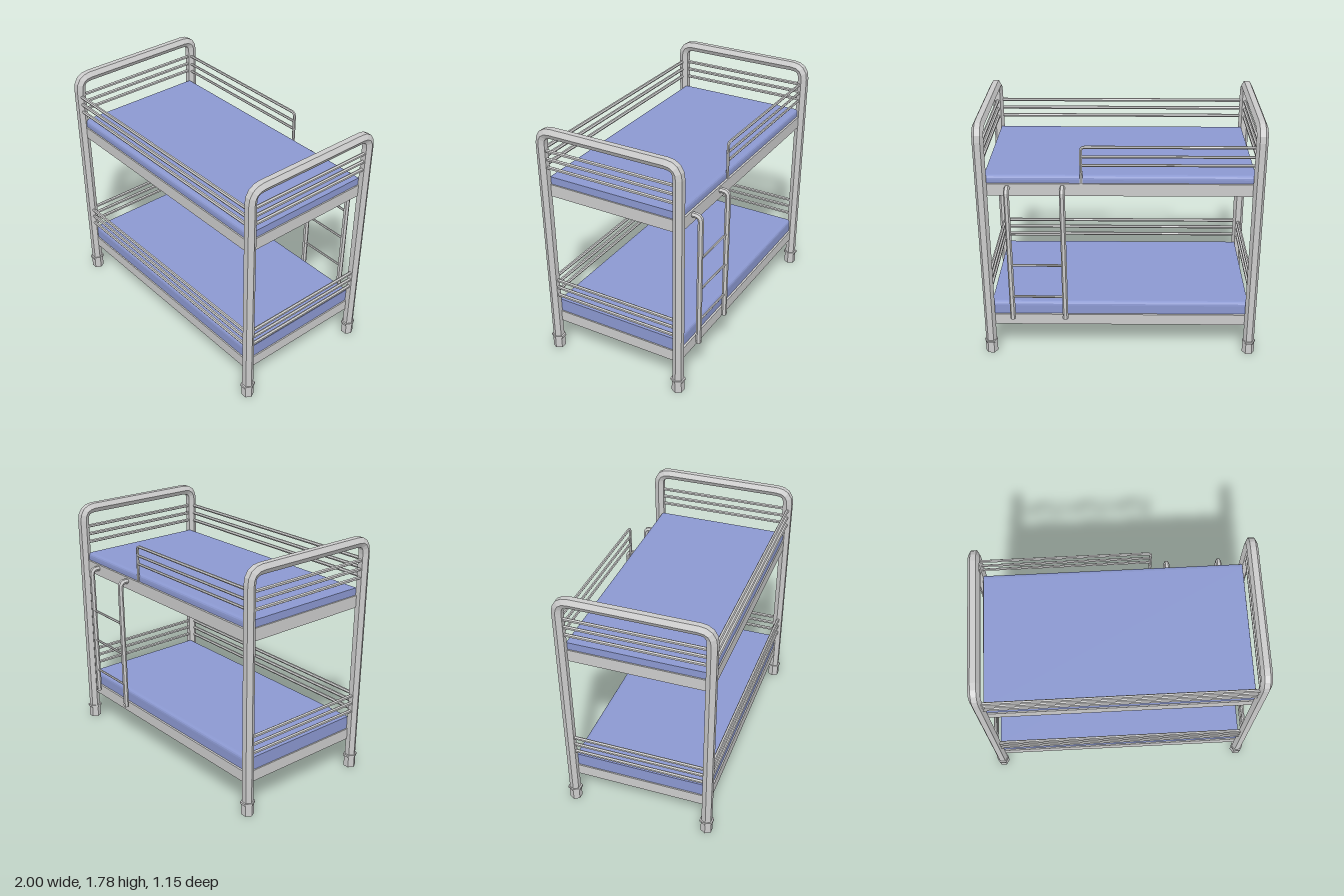
import * as THREE from 'three';

const grey = new THREE.MeshStandardMaterial({ color: 0xcccccc, flatShading: true });
const blue = new THREE.MeshStandardMaterial({ color: 0x8b98d0, flatShading: true });

const POST_X = 0.952;
const V = (x, y, z) => new THREE.Vector3(x, y, z);

// Curve that visits each given point once, with mitred tangents
class Polyline extends THREE.Curve {
  constructor(points) {
    super();
    this.points = points;
  }
  getPointAt(u) {
    return this.points[Math.round(u * (this.points.length - 1))].clone();
  }
  getTangentAt(u) {
    const p = this.points;
    const i = Math.round(u * (p.length - 1));
    const t = V(0, 0, 0);
    if (i > 0) t.add(p[i].clone().sub(p[i - 1]).normalize());
    if (i < p.length - 1) t.add(p[i + 1].clone().sub(p[i]).normalize());
    return t.normalize();
  }
}

// Replace the inner corners of a path with short curves
function roundCorners(pts, radius, steps = 4) {
  const out = [pts[0]];
  for (let i = 1; i < pts.length - 1; i++) {
    const c = pts[i];
    const a = c.clone().add(pts[i - 1].clone().sub(c).setLength(radius));
    const b = c.clone().add(pts[i + 1].clone().sub(c).setLength(radius));
    out.push(...new THREE.QuadraticBezierCurve3(a, c, b).getPoints(steps));
  }
  out.push(pts[pts.length - 1]);
  return out;
}

export function createModel() {
  const model = new THREE.Group();
  model.name = 'bunkBed';

  const add = (name, geometry, material = grey) => {
    const mesh = new THREE.Mesh(geometry, material);
    mesh.name = name;
    model.add(mesh);
    return mesh;
  };
  const tube = (name, pts, r, corner = 0) => {
    const path = corner ? roundCorners(pts, corner) : pts;
    return add(name, new THREE.TubeGeometry(new Polyline(path), path.length - 1, r, 6));
  };

  // The posts splay slightly towards the top
  const frontZ = (y) => 0.53 + 0.013 * (y / 1.75);
  const backZ = (y) => -0.489 - 0.013 * (y / 1.75);

  // End frames: one bent hexagonal tube each, with feet
  for (const side of [-1, 1]) {
    const x = side * POST_X;
    tube('endFrame', [
      V(x, 0.02, frontZ(0)), V(x, 1.75, frontZ(1.75)),
      V(x, 1.75, backZ(1.75)), V(x, 0.02, backZ(0)),
    ], 0.04, 0.09);
    for (const z of [frontZ(0), backZ(0)]) {
      const foot = add('foot', new THREE.CylinderGeometry(0.043, 0.045, 0.085, 6));
      foot.rotation.y = Math.PI / 2;
      foot.position.set(x, 0.0425, z);
      const ring = add('footRing', new THREE.CylinderGeometry(0.048, 0.048, 0.016, 6));
      ring.rotation.y = Math.PI / 2;
      ring.scale.x = 1.12;
      ring.position.set(x, 0.093, z);
    }
  }

  // Two bunks: base, mattress, front rails and end rails
  const bunks = [
    { bottom: 0.227, top: 0.31, mattressTop: 0.406, rails: [0.46, 0.524, 0.584] },
    { bottom: 1.263, top: 1.352, mattressTop: 1.406, rails: [1.486, 1.548, 1.61] },
  ];
  for (const { bottom, top, mattressTop, rails } of bunks) {
    const zf = frontZ(top), zb = backZ(top);

    const base = add('bedBase', new THREE.BoxGeometry(1.88, top - bottom, zf - zb));
    base.position.set(0, (top + bottom) / 2, (zf + zb) / 2);

    // Mattress: cross-section with rounded long edges, extruded along x
    const f = zf - 0.01, b = zb + 0.015, e = 0.03;
    const s = new THREE.Shape();
    s.moveTo(-f, top - 0.01);
    s.lineTo(-b, top - 0.01);
    s.lineTo(-b, mattressTop - e);
    s.quadraticCurveTo(-b, mattressTop, -b - e, mattressTop);
    s.lineTo(-f + e, mattressTop);
    s.quadraticCurveTo(-f, mattressTop, -f, mattressTop - e);
    const mattress = add('mattress',
      new THREE.ExtrudeGeometry(s, { depth: 1.86, bevelEnabled: false, curveSegments: 4 }), blue);
    mattress.rotation.y = Math.PI / 2;
    mattress.position.x = -0.93;

    for (const y of rails) {
      const z = frontZ(y) + 0.006;
      tube('frontRail', [V(-0.935, y, z), V(0.935, y, z)], 0.013);
      for (const side of [-1, 1]) {
        const x = side * POST_X;
        tube('endRail', [V(x, y, frontZ(y)), V(x, y, backZ(y))], 0.013);
      }
    }
  }

  // Short guard rail on the back of the upper bunk
  const guardZ = -0.487, guardX = 0.265;
  tube('backGuard', [
    V(-0.935, 1.617, guardZ), V(guardX, 1.617, guardZ), V(guardX, 1.33, guardZ),
  ], 0.011, 0.03);
  for (const y of [1.486, 1.548]) {
    tube('backGuardRail', [V(-0.935, y, guardZ), V(guardX, y, guardZ)], 0.01);
  }

  // Ladder hooked over the back of the upper base
  const ladderX = [0.393, 0.773];
  const ladderZ = (y) => -0.55 - 0.01 * (y - 0.31);
  for (const x of ladderX) {
    tube('ladderUpright', [
      V(x, 0.32, ladderZ(0.32)), V(x, 1.327, ladderZ(1.327)), V(x, 1.322, -0.48),
    ], 0.02, 0.04);
    const cap = add('ladderFoot', new THREE.CylinderGeometry(0.021, 0.021, 0.02, 6));
    cap.rotation.y = Math.PI / 2;
    cap.position.set(x, 0.322, ladderZ(0.32));
  }
  for (const y of [0.495, 0.75, 0.997]) {
    tube('ladderRung', [V(ladderX[0], y, ladderZ(y)), V(ladderX[1], y, ladderZ(y))], 0.009);
  }

  return model;
}
